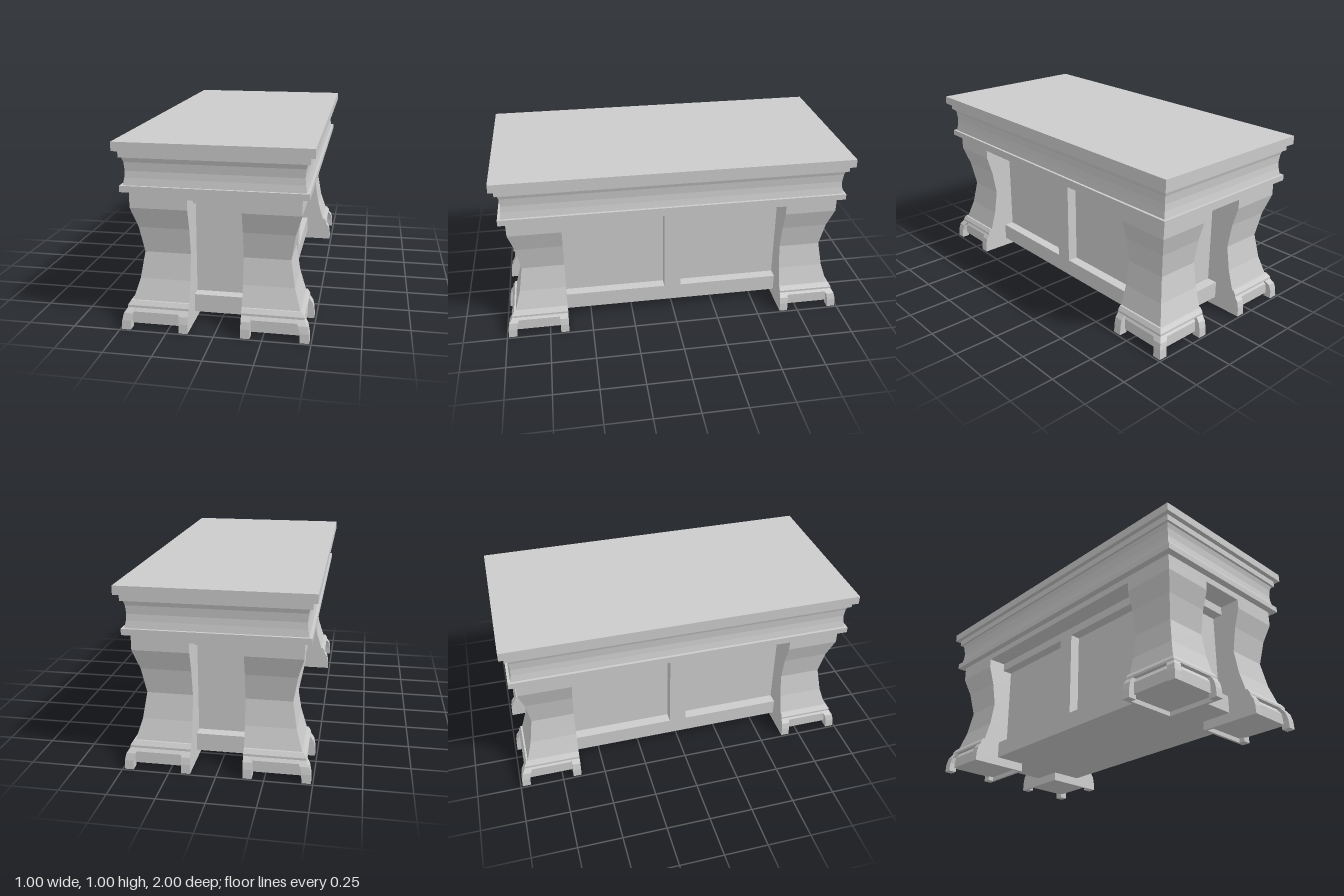
import * as THREE from 'three';

const material = new THREE.MeshStandardMaterial({ color: 0xcccccc, flatShading: true });

// Stack of rectangular sections [y, x0, x1, z0, z1], bottom to top, capped at both ends
function loft(name, sections) {
  const pos = [];
  const ring = ([y, x0, x1, z0, z1]) => [[x0, y, z1], [x1, y, z1], [x1, y, z0], [x0, y, z0]];
  const quad = (a, b, c, d) => pos.push(...a, ...b, ...c, ...a, ...c, ...d);
  const rings = sections.map(ring);
  for (let i = 0; i < rings.length - 1; i++) {
    const lo = rings[i], hi = rings[i + 1];
    for (let k = 0; k < 4; k++) {
      const n = (k + 1) % 4;
      quad(lo[k], lo[n], hi[n], hi[k]);
    }
  }
  const [a, b, c, d] = rings[0];
  quad(d, c, b, a);
  quad(...rings[rings.length - 1]);
  const geometry = new THREE.BufferGeometry();
  geometry.setAttribute('position', new THREE.Float32BufferAttribute(pos, 3));
  geometry.computeVertexNormals();
  const mesh = new THREE.Mesh(geometry, material);
  mesh.name = name;
  return mesh;
}

// Centred moulding from [y, half width]; half length is always 0.5 more
const moulding = (name, profile) =>
  loft(name, profile.map(([y, r]) => [y, -r, r, -r - 0.5, r + 0.5]));

const slab = (name, y0, y1, x, z) => loft(name, [[y0, -x, x, -z, z], [y1, -x, x, -z, z]]);

// Inner corner of each leg, width of the foot brackets
const IX = 0.138, IZ = 0.64, W = 0.048;

const legProfile = [[0.15, 0.438], [0.26, 0.405], [0.4, 0.382], [0.54, 0.405], [0.65, 0.438], [0.705, 0.438]];
const footTop = [[0.115, 0.462], [0.127, 0.462], [0.15, 0.448]];
const footCore = [[0.025, 0.455], [0.088, 0.455], [0.115, 0.438]];
const bracket = [[0, 0.49], [0.05, 0.488], [0.088, 0.48], [0.115, 0.462]];

function createLeg(sx, sz) {
  const leg = new THREE.Group();
  leg.name = 'leg';
  // Mirror by swapping the section limits, so the faces keep their winding
  const add = (name, profile, limits) => leg.add(loft(name, profile.map(([y, r]) => {
    const [x0, x1, z0, z1] = limits(r);
    return [y, ...(sx > 0 ? [x0, x1] : [-x1, -x0]), ...(sz > 0 ? [z0, z1] : [-z1, -z0])];
  })));
  const full = r => [IX, r, IZ, r + 0.5];
  add('legShaft', legProfile, full);
  add('footMoulding', footTop, full);
  add('footCore', footCore, full);
  // Brackets standing proud at the corner and at both ends of the foot
  add('cornerBracket', bracket, r => [r - W, r, r + 0.5 - W, r + 0.5]);
  add('endBracket', bracket, r => [IX, IX + W, r + 0.5 - W, r + 0.5]);
  add('sideBracket', bracket, r => [r - W, r, IZ, IZ + W]);
  // Thin rims down to the floor along the two inner faces
  const rim = [[0, 0.45], [0.03, 0.45]];
  add('innerRim', rim, r => [IX, IX + 0.015, IZ, r + 0.5]);
  add('innerRim', rim, r => [IX, r, IZ, IZ + 0.015]);
  return leg;
}

export function createModel() {
  const model = new THREE.Group();
  model.name = 'table';

  // Top and its mouldings
  model.add(
    slab('tableTop', 0.953, 1, 0.5, 1),
    slab('upperFillet', 0.917, 0.953, 0.475, 0.975),
    moulding('cove', [[0.773, 0.46], [0.81, 0.453], [0.845, 0.45], [0.89, 0.454], [0.917, 0.462]]),
    slab('lowerFillet', 0.74, 0.773, 0.475, 0.975),
    slab('frieze', 0.703, 0.74, 0.438, 0.938),
  );

  // Chest between the legs: recessed panels within rails and a middle stile
  model.add(
    slab('panels', 0.1, 0.72, 0.27, 0.76),
    slab('bottomRail', 0.052, 0.15, 0.33, 0.82),
    slab('topRail', 0.653, 0.703, 0.33, 0.82),
    slab('middleStile', 0.15, 0.653, 0.33, 0.05),
  );

  for (const sx of [1, -1]) for (const sz of [1, -1]) model.add(createLeg(sx, sz));
  return model;
}
